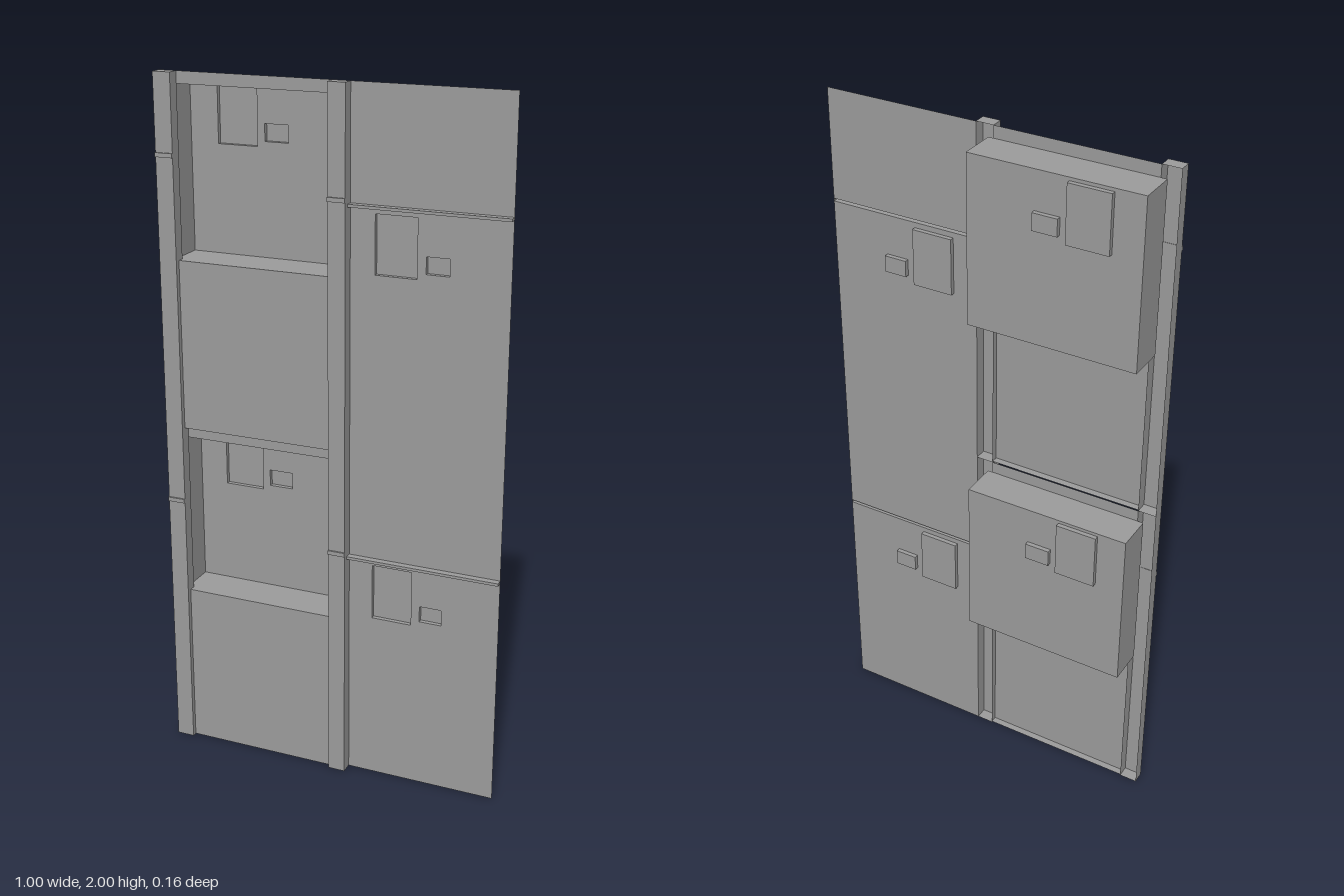
import * as THREE from 'three';

const material = new THREE.MeshStandardMaterial({ color: 0x9c9c9c, side: THREE.DoubleSide, flatShading: true });

// Depths of the main surfaces
const Z_BACK = 0.04, Z_BAY = 0.06, Z_POST = 0.075, Z_NICHE = -0.066;
const POCKET = 0.013;

// Inner edges of the left bay
const BAY_L = -0.448, BAY_R = 0.005;

function add(parent, name, geometry) {
  const mesh = new THREE.Mesh(geometry, material);
  mesh.name = name;
  parent.add(mesh);
}

// Upright sheet facing +z; r and holes are [x0, x1, y0, y1]
function sheet(parent, name, r, z, holes = []) {
  const corners = ([x0, x1, y0, y1]) => [[x0, y0], [x1, y0], [x1, y1], [x0, y1]].map(p => new THREE.Vector2(...p));
  const shape = new THREE.Shape(corners(r));
  for (const h of holes) shape.holes.push(new THREE.Path(corners(h)));
  add(parent, name, new THREE.ShapeGeometry(shape).translate(0, 0, z));
}

// Level sheet at height y
function shelf(parent, name, x0, x1, y, z0, z1) {
  add(parent, name, new THREE.PlaneGeometry(x1 - x0, z1 - z0)
    .rotateX(-Math.PI / 2).translate((x0 + x1) / 2, y, (z0 + z1) / 2));
}

// Upright sheet across x
function cheek(parent, name, x, y0, y1, z0, z1) {
  add(parent, name, new THREE.PlaneGeometry(z1 - z0, y1 - y0)
    .rotateY(Math.PI / 2).translate(x, (y0 + y1) / 2, (z0 + z1) / 2));
}

// Four sides and an end sheet, open at zOpen
function tray(parent, name, r, zOpen, zEnd, holes = []) {
  const [x0, x1, y0, y1] = r;
  const group = new THREE.Group();
  group.name = name;
  parent.add(group);
  const a = Math.min(zOpen, zEnd), b = Math.max(zOpen, zEnd);
  sheet(group, name + 'Face', r, zEnd, holes);
  for (const y of [y0, y1]) shelf(group, name + 'Edge', x0, x1, y, a, b);
  for (const x of [x0, x1]) cheek(group, name + 'Side', x, y0, y1, a, b);
}

export function createModel() {
  const model = new THREE.Group();
  model.name = 'wallPanel';

  // Hollow posts, open behind, with caps at each storey and joint strips
  for (const [x0, x1, joint] of [[-0.5, BAY_L, 0.78], [BAY_R, 0.055, 0.7]]) {
    for (const y of [0, 1]) {
      tray(model, 'post', [x0, x1, y, y + 1], Z_BACK, Z_POST);
      add(model, 'postJoint', new THREE.BoxGeometry(x1 - x0, 0.012, 0.006)
        .translate((x0 + x1) / 2, y + joint, Z_POST + 0.002));
    }
  }

  for (const y of [0, 1]) {
    // Left bay: low wall with a foot rail and a sill, deep niche, set-back strip above
    sheet(model, 'bayWall', [BAY_L, BAY_R, y, y + 0.49], Z_BAY);
    shelf(model, 'bayRail', BAY_L, BAY_R, y + 0.003, Z_BACK, Z_BAY);
    shelf(model, 'nicheSill', BAY_L, BAY_R, y + 0.49, Z_BACK, Z_BAY);
    sheet(model, 'nicheHeader', [BAY_L, BAY_R, y + 0.966, y + 1], Z_BACK);
    const nichePockets = [
      [-0.382, -0.263, y + 0.795, y + 0.957],
      [-0.241, -0.17, y + 0.81, y + 0.858],
    ];
    tray(model, 'niche', [-0.465, 0.02, y + 0.49, y + 0.966], Z_BACK, Z_NICHE, nichePockets);
    for (const p of nichePockets) tray(model, 'nichePocket', p, Z_NICHE, Z_NICHE - POCKET);

    // Right bay pockets and hollow ledge
    const pockets = [
      [0.125, 0.243, y + 0.502, y + 0.665],
      [0.268, 0.333, y + 0.518, y + 0.565],
    ];
    sheet(model, 'rightWall', [0.055, 0.5, y, y + 0.68], Z_BACK, pockets);
    sheet(model, 'rightWallUpper', [0.055, 0.5, y + 0.688, y + 1], Z_BACK);
    for (const p of pockets) tray(model, 'wallPocket', p, Z_BACK, Z_BACK - POCKET);
    tray(model, 'ledge', [0.055, 0.5, y + 0.68, y + 0.688], Z_BACK, Z_BAY);
  }
  return model;
}
